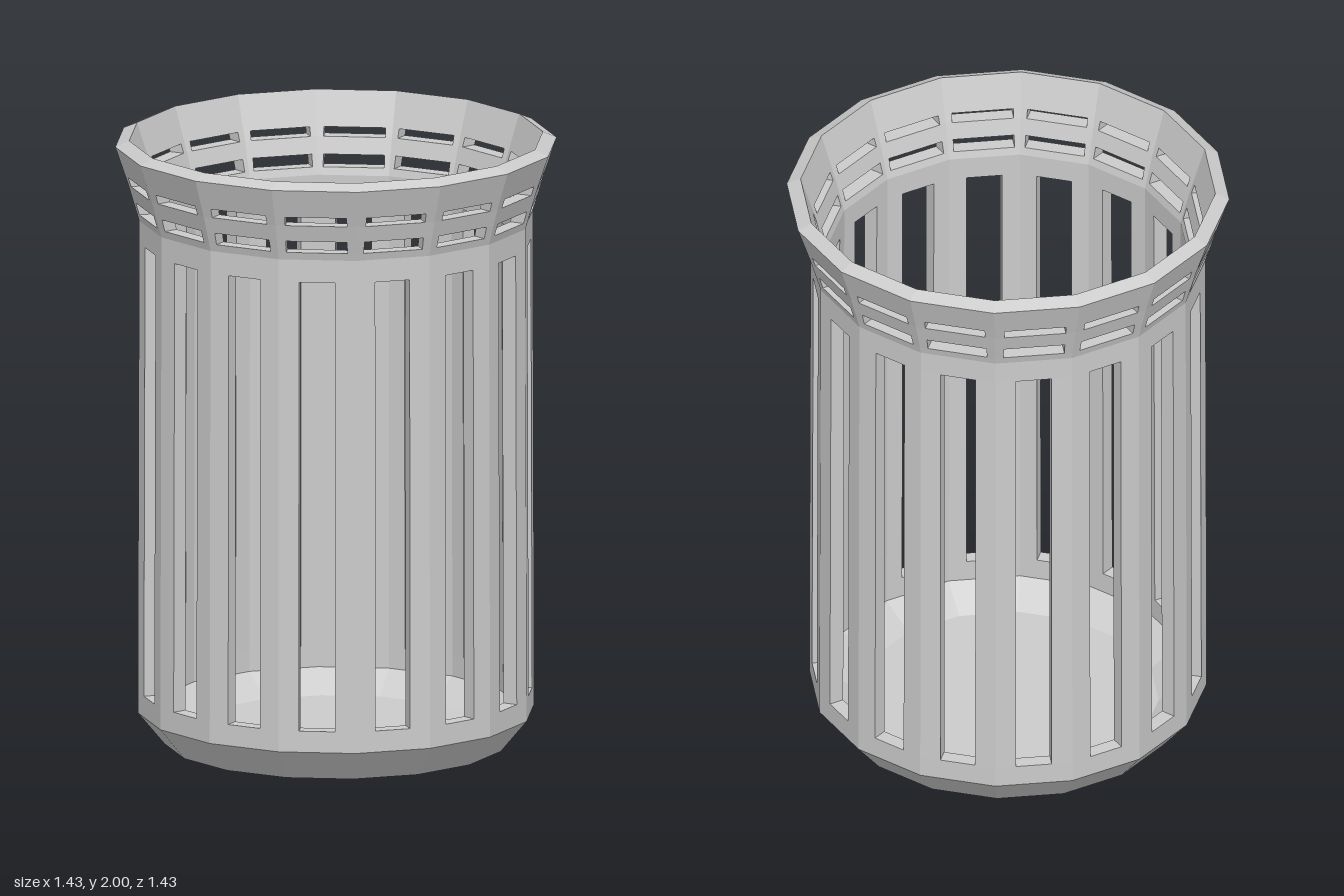
import * as THREE from 'three';

const SIDES = 16;
const HALF = Math.PI / SIDES;

// Wall rings from bottom to top: outer y and radius, inner y and radius,
// and the half width of the slot cut between this ring and the next (0 = solid)
const rings = [
  { yo: 0, ro: 0.555, yi: 0.035, ri: 0.487, slot: 0 },
  { yo: 0.105, ro: 0.642, yi: 0.105, ri: 0.592, slot: 0 },
  { yo: 0.175, ro: 0.642, yi: 0.175, ri: 0.592, slot: 0.058 },
  { yo: 1.66, ro: 0.638, yi: 1.66, ri: 0.588, slot: 0 },
  { yo: 1.735, ro: 0.638, yi: 1.735, ri: 0.588, slot: 0 },
  { yo: 1.76, ro: 0.645, yi: 1.76, ri: 0.595, slot: 0.099 },
  { yo: 1.8, ro: 0.657, yi: 1.8, ri: 0.606, slot: 0 },
  { yo: 1.855, ro: 0.673, yi: 1.855, ri: 0.622, slot: 0.1 },
  { yo: 1.885, ro: 0.683, yi: 1.885, ri: 0.632, slot: 0 },
  { yo: 1.98, ro: 0.715, yi: 2.0, ri: 0.67, slot: 0 },
];

// Builds all sixteen flat panels of the wall between two rings
function wallGeometry(first, last, closeTop) {
  const pos = [];
  const quad = (a, b, c, d) => pos.push(...a, ...b, ...c, ...a, ...c, ...d);

  for (let i = 0; i < SIDES; i++) {
    const angle = (2 * i + 1) * HALF;
    const s = Math.sin(angle), c = Math.cos(angle);
    // point on a panel: u is the sideways offset from the panel's centre line
    const point = (r, y, u) => {
      const d = r * Math.cos(HALF);
      return [d * s + u * c, y, d * c - u * s];
    };
    const outer = (k, u) => point(k.ro, k.yo, u);
    const inner = (k, u) => point(k.ri, k.yi, u);
    const edgeO = (k) => k.ro * Math.sin(HALF);
    const edgeI = (k) => k.ri * Math.sin(HALF);

    for (let j = first; j < last; j++) {
      const a = rings[j], b = rings[j + 1], w = a.slot;
      if (!w) {
        quad(outer(a, -edgeO(a)), outer(a, edgeO(a)), outer(b, edgeO(b)), outer(b, -edgeO(b)));
        quad(inner(a, edgeI(a)), inner(a, -edgeI(a)), inner(b, -edgeI(b)), inner(b, edgeI(b)));
        continue;
      }
      // bars on both sides of the slot, outside then inside
      quad(outer(a, -edgeO(a)), outer(a, -w), outer(b, -w), outer(b, -edgeO(b)));
      quad(outer(a, w), outer(a, edgeO(a)), outer(b, edgeO(b)), outer(b, w));
      quad(inner(a, -w), inner(a, -edgeI(a)), inner(b, -edgeI(b)), inner(b, -w));
      quad(inner(a, edgeI(a)), inner(a, w), inner(b, w), inner(b, edgeI(b)));
      // slot walls: sill, head, left and right
      quad(outer(a, -w), outer(a, w), inner(a, w), inner(a, -w));
      quad(inner(b, -w), inner(b, w), outer(b, w), outer(b, -w));
      quad(outer(a, -w), inner(a, -w), inner(b, -w), outer(b, -w));
      quad(inner(a, w), outer(a, w), outer(b, w), inner(b, w));
    }
    if (closeTop) {
      const t = rings[last];
      quad(outer(t, -edgeO(t)), outer(t, edgeO(t)), inner(t, edgeI(t)), inner(t, -edgeI(t)));
    }
  }
  const geometry = new THREE.BufferGeometry();
  geometry.setAttribute('position', new THREE.Float32BufferAttribute(pos, 3));
  geometry.computeVertexNormals();
  return geometry;
}

export function createModel() {
  const model = new THREE.Group();
  model.name = 'slottedBasket';
  const material = new THREE.MeshStandardMaterial({ color: 0xcccccc, flatShading: true });
  const add = (name, geometry) => {
    const mesh = new THREE.Mesh(geometry, material);
    mesh.name = name;
    model.add(mesh);
    return mesh;
  };

  add('chamferedBase', wallGeometry(0, 1, false));
  add('barredWall', wallGeometry(1, 4, false));
  add('flaredRim', wallGeometry(4, rings.length - 1, true));

  // Floor, seen from inside and from below
  const { ri, yi, ro } = rings[0];
  add('floor', new THREE.CircleGeometry(ri, SIDES).rotateX(-Math.PI / 2)).position.y = yi;
  add('underside', new THREE.CircleGeometry(ro, SIDES).rotateX(Math.PI / 2));

  return model;
}
